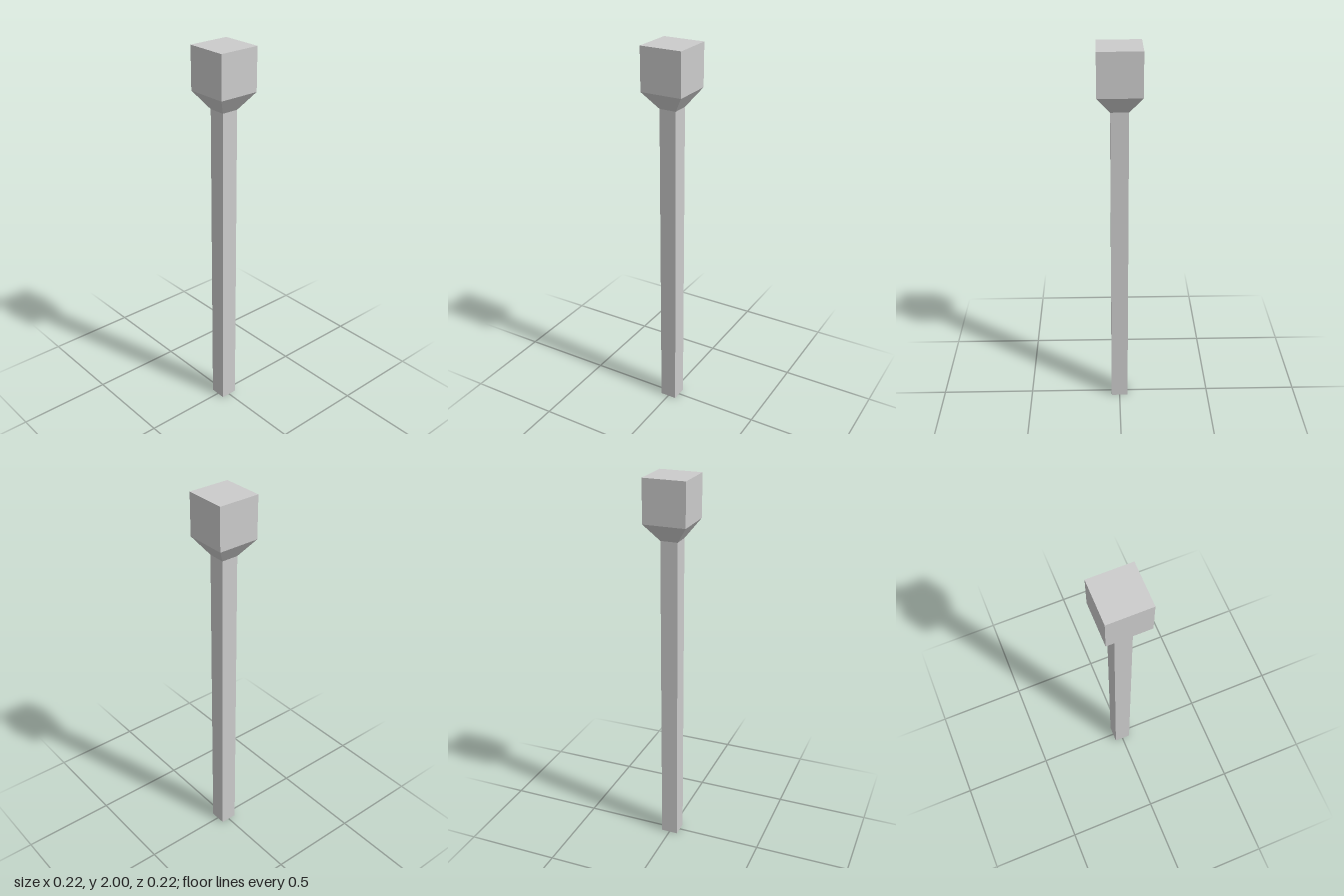
import * as THREE from 'three';

const HEAD = 0.22;   // width of the cubic head
const SHAFT = 0.09;  // width of the square shaft
const SHAFT_TOP = 1.69;
const HEAD_BASE = 1.78;

export function createModel() {
  const group = new THREE.Group();
  group.name = 'post';
  const grey = new THREE.MeshStandardMaterial({ color: 0xcccccc });
  grey.name = 'light grey';
  grey.flatShading = true;

  // Square section between two heights, with its own bottom and top widths
  function section(name, bottomWidth, topWidth, y0, y1, open = false) {
    const geometry = new THREE.CylinderGeometry(
      topWidth * Math.SQRT1_2, bottomWidth * Math.SQRT1_2, y1 - y0, 4, 1, open);
    geometry.rotateY(Math.PI / 4);
    const mesh = new THREE.Mesh(geometry, grey);
    mesh.name = name;
    mesh.position.y = (y0 + y1) / 2;
    group.add(mesh);
  }

  section('shaft', SHAFT, SHAFT, 0, SHAFT_TOP);
  section('flaredCollar', SHAFT, HEAD, SHAFT_TOP, HEAD_BASE, true);
  section('head', HEAD, HEAD, HEAD_BASE, 2);

  return group;
}
